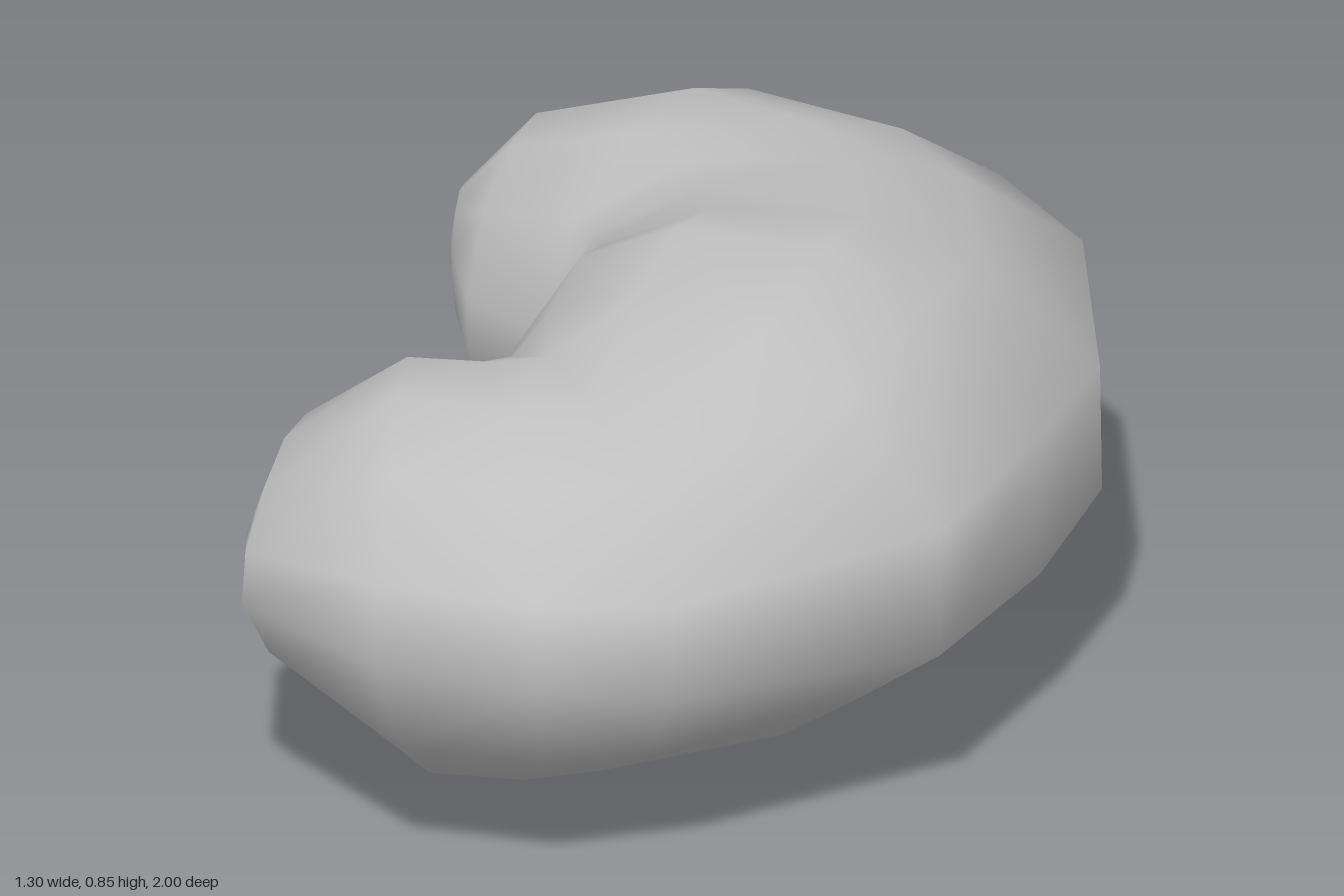
import * as THREE from 'three';

// Cross-sections fanned around the notch:
// inner x, z, outer x, z, half height, squareness, lean of the underside
const SECTIONS = [
  [-0.625, -0.50, -0.63, -0.61, 0.125, 0, 0],
  [-0.51, -0.28, -0.52, -0.87, 0.255, 0, 0.01],
  [-0.33, -0.17, -0.17, -1.00, 0.34, 0, 0.02],
  [-0.325, -0.11, 0.22, -0.94, 0.342, 0.2, 0],
  [-0.325, -0.06, 0.44, -0.75, 0.35, 0.5, 0],
  [-0.325, -0.01, 0.64, -0.29, 0.395, 0.9, 0],
  [-0.32, 0.05, 0.65, 0.02, 0.427, 1, 0],
  [-0.315, 0.13, 0.62, 0.40, 0.38, 1, 0],
  [-0.285, 0.20, 0.32, 0.86, 0.342, 0.4, 0],
  [-0.31, 0.225, 0.12, 0.98, 0.345, 0.1, 0.03],
  [-0.37, 0.27, -0.17, 1.00, 0.347, 0, 0.06],
  [-0.49, 0.36, -0.47, 0.85, 0.21, 0, 0.06],
];
// Section outlines as [across, up], from the outer side over the top to the inner side
const ROUND = [
  [0.93, 0.4], [0.53, 0.79], [0.12, 1], [-0.33, 0.98], [-0.75, 0.72], [-1, 0.2],
  [-1, -0.2], [-0.75, -0.72], [-0.33, -0.98], [0.12, -1], [0.8, -0.52], [1, 0],
];
const SQUARE = [
  [1, 0.32], [0.58, 0.82], [0.21, 1], [-0.33, 1], [-0.7, 0.8], [-1, 0.25],
  [-1, -0.25], [-0.7, -0.8], [-0.33, -1], [0.3, -0.94], [0.65, -0.62], [1, -0.28],
];
const BACK_TIP = [-0.65, 0.43, -0.55];
const FRONT_TIP = [-0.56, 0.43, 0.60];
const SIDES = ROUND.length;
const MID_Y = 0.427;

function beanGeometry() {
  const positions = [];
  const index = [];

  // Rings
  for (const [xi, zi, xo, zo, h, square, lean] of SECTIONS) {
    for (let j = 0; j < SIDES; j++) {
      const across = THREE.MathUtils.lerp(ROUND[j][0], SQUARE[j][0], square);
      const up = THREE.MathUtils.lerp(ROUND[j][1], SQUARE[j][1], square);
      const t = 0.5 + 0.5 * across;
      positions.push(
        xi + (xo - xi) * t - lean * Math.min(up, 0),
        MID_Y + h * up,
        zi + (zo - zi) * t,
      );
    }
  }
  const back = positions.length / 3;
  const front = back + 1;
  positions.push(...BACK_TIP, ...FRONT_TIP);

  // Skin between rings, then a fan at each tip
  const last = (SECTIONS.length - 1) * SIDES;
  for (let j = 0; j < SIDES; j++) {
    const k = (j + 1) % SIDES;
    for (let r = 0; r < last; r += SIDES) {
      index.push(r + j, r + k, r + SIDES + j, r + k, r + SIDES + k, r + SIDES + j);
    }
    index.push(back, k, j, front, last + j, last + k);
  }

  const geometry = new THREE.BufferGeometry();
  geometry.setAttribute('position', new THREE.Float32BufferAttribute(positions, 3));
  geometry.setIndex(index);
  geometry.computeVertexNormals();
  return geometry;
}

export function createModel() {
  const group = new THREE.Group();
  group.name = 'bean';
  const grey = new THREE.MeshStandardMaterial({ color: 0xc0c0c0 });
  grey.name = 'light grey';
  const body = new THREE.Mesh(beanGeometry(), grey);
  body.name = 'beanBody';
  group.add(body);
  return group;
}
